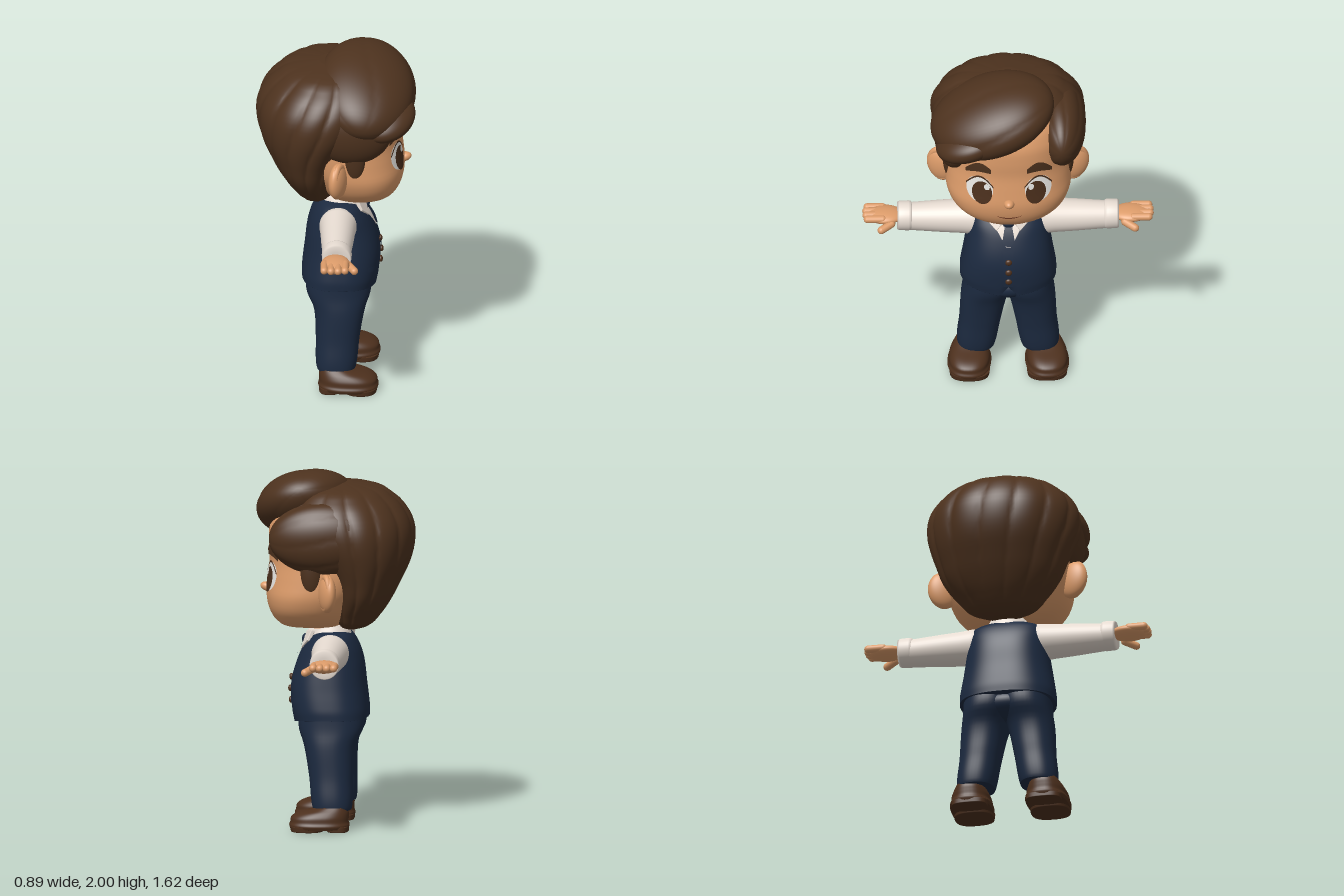
import * as THREE from 'three';
import { mergeVertices } from 'three/addons/utils/BufferGeometryUtils.js';

const PI = Math.PI;
const material = (name, color) => Object.assign(new THREE.MeshStandardMaterial({ color }), { name });

// Body outline as a function of height; each section is [y, halfWidth, zBack, zFront, centreX]
function outline(sections, n = 2.3) {
  const cubic = new THREE.CubicInterpolant(sections.map(s => s[0]),
    sections.flatMap(s => [s[1], s[2], s[3], s[4] || 0]), 4);
  const at = y => Array.from(cubic.evaluate(y));
  const surface = (x, y) => {
    const [rx, zb, zf, cx] = at(y);
    const t = Math.min(1, Math.abs((x - cx) / rx));
    return (zb + zf) / 2 + (zf - zb) / 2 * Math.pow(1 - t ** n, 1 / n);
  };
  return { at, surface, n, y0: sections[0][0], y1: sections.at(-1)[0] };
}

// Closed skin over an outline, with optional ridges and vertex rule
function loft(o, rows = 32, cols = 48, ridge = () => 1, rule = p => p) {
  const pos = [], index = [];
  const power = c => Math.sign(c) * Math.abs(c) ** (2 / o.n);
  for (let j = 0; j <= rows; j++) {
    const y = o.y0 + (o.y1 - o.y0) * (1 - Math.cos(PI * j / rows)) / 2;
    const [rx, zb, zf, cx] = o.at(y);
    for (let i = 0; i < cols; i++) {
      const a = i / cols * 2 * PI, k = ridge(a, y);
      const p = new THREE.Vector3(cx + rx * k * power(Math.cos(a)), y,
        (zb + zf) / 2 + (zf - zb) / 2 * k * power(Math.sin(a)));
      pos.push(...rule(p).toArray());
      const b = j * cols + i, c = j * cols + (i + 1) % cols;
      if (j < rows) index.push(b, b + cols, c, c, b + cols, c + cols);
    }
  }
  const last = rows * cols, low = pos.length / 3;
  for (const y of [o.y0, o.y1]) {
    const [, zb, zf, cx] = o.at(y);
    pos.push(cx, y, (zb + zf) / 2);
  }
  for (let i = 0; i < cols; i++) {
    const k = (i + 1) % cols;
    index.push(low, i, k, low + 1, last + k, last + i);
  }
  const g = new THREE.BufferGeometry();
  g.setAttribute('position', new THREE.Float32BufferAttribute(pos, 3));
  g.setIndex(index);
  g.computeVertexNormals();
  return g;
}

// Thin painted plate following a surface; fn(u, v) gives [x, y]
function plate(o, fn, off, nu = 14, nv = 14) {
  const g = new THREE.PlaneGeometry(1, 1, nu, nv), p = g.attributes.position;
  for (let i = 0; i < p.count; i++) {
    const [x, y] = fn(p.getX(i) + 0.5, p.getY(i) + 0.5);
    p.setXYZ(i, x, y, o.surface(x, y) + off);
  }
  g.computeVertexNormals();
  return g;
}
const oval = (cx, cy, rx, ry) => (u, v) =>
  [cx + rx * (2 * u - 1) * Math.sin(PI * v), cy - ry * Math.cos(PI * v)];

// Ellipsoid with soft grooves running along its x axis
function lock(rx, ry, rz, grooves = 0, depth = 0.06) {
  let g = new THREE.SphereGeometry(1, 64, 32).rotateZ(PI / 2);
  g.deleteAttribute('uv'); g.deleteAttribute('normal');
  const p = g.attributes.position;
  for (let i = 0; i < p.count && grooves; i++) {
    const a = Math.atan2(p.getZ(i), p.getY(i)) + p.getX(i) * 0.35;
    const k = 1 - depth * (1 - Math.sqrt(Math.abs(Math.sin(a * grooves / 2))));
    p.setXYZ(i, p.getX(i), p.getY(i) * k, p.getZ(i) * k);
  }
  g = mergeVertices(g.scale(rx, ry, rz), 1e-5);
  g.computeVertexNormals();
  return g;
}

export function createModel() {
  const root = new THREE.Group(), body = new THREE.Group();
  body.name = 'boy';
  body.rotation.y = PI / 2;
  root.add(body);
  const skin = material('skin', 0xdd9c6a), hair = material('hair', 0x4d321e);
  const navy = material('navy cloth', 0x1c2a40), shirt = material('shirt', 0xe6dbd1);
  const white = material('eye white', 0xf0eeea), iris = material('dark brown', 0x4a2e1b);
  const leather = material('shoe leather', 0x4d301d), lip = material('mouth', 0x7d422a);
  const add = (name, g, m, pos = [0, 0, 0], rot = [0, 0, 0]) => {
    const mesh = new THREE.Mesh(g, m);
    mesh.name = name;
    mesh.position.set(...pos);
    mesh.rotation.set(...rot);
    body.add(mesh);
    return mesh;
  };

  // Head and face
  const head = outline([[1.115, 0.04, 0.06, 0.16], [1.125, 0.13, -0.02, 0.255], [1.15, 0.21, -0.06, 0.305],
    [1.2, 0.285, -0.1, 0.345], [1.3, 0.343, -0.16, 0.372], [1.4, 0.35, -0.24, 0.365], [1.5, 0.348, -0.3, 0.355],
    [1.6, 0.345, -0.32, 0.36], [1.7, 0.33, -0.32, 0.35], [1.8, 0.27, -0.27, 0.28], [1.87, 0.1, -0.1, 0.12]]);
  add('head', loft(head, 44, 64), skin);
  add('nose', lock(0.03, 0.027, 0.045), skin, [0, 1.335, 0.365], [-0.25, 0, 0]);
  add('mouth', plate(head, (u, v) => [(u - 0.5) * 0.15,
    1.232 + 0.022 * (2 * u - 1) ** 2 + (v - 0.5) * 0.01 * Math.sin(PI * u)], 0.004), lip);
  for (const s of [-1, 1]) {
    add('eyeWhite', plate(head, oval(s * 0.163, 1.422, 0.074, 0.082), 0.003), white);
    add('iris', plate(head, oval(s * 0.15, 1.403, 0.056, 0.071), 0.006), iris);
    add('eyeGlint', plate(head, oval(s * 0.123, 1.445, 0.016, 0.019), 0.009), white);
    add('upperLash', plate(head, (u, v) => [s * 0.163 + 0.076 * (2 * u - 1),
      1.445 + 0.06 * Math.sin(PI * u) + (v - 0.5) * 0.011], 0.008), iris);
    // Eyebrow, thick inside and thinner outside
    add('eyebrow', plate(head, (u, v) => {
      const inner = s > 0 ? 1 - u : u;
      return [s * 0.17 + (u - 0.5) * 0.14, 1.528 + 0.022 * inner + 0.03 * Math.sin(PI * u)
        + (v - 0.5) * 0.062 * Math.sin(PI * (0.12 + 0.72 * inner))];
    }, 0.008), hair);
    // Ears with a raised rim, turned forwards
    add('ear', lock(0.085, 0.108, 0.045), skin, [s * 0.37, 1.358, 0.008], [0, s * 0.35, -s * 0.15]);
    add('earRim', new THREE.TorusGeometry(0.07, 0.016, 10, 32).scale(0.85, 1.27, 1), skin,
      [s * 0.378, 1.363, 0.018], [0, s * 0.4, -s * 0.15]);
    add('sideburn', lock(0.035, 0.145, 0.06), hair, [s * 0.332, 1.48, 0.1], [0, 0, -s * 0.04]);
  }

  // Hair: grooved back mass, side sweeps and the front quiff
  const mane = outline([[1.11, 0.07, -0.15, -0.05], [1.13, 0.16, -0.2, -0.03], [1.2, 0.25, -0.27, 0],
    [1.3, 0.33, -0.335, 0.02], [1.4, 0.37, -0.385, 0.06], [1.5, 0.405, -0.43, 0.13], [1.6, 0.43, -0.453, 0.21],
    [1.7, 0.43, -0.45, 0.26], [1.78, 0.4, -0.415, 0.27], [1.86, 0.33, -0.34, 0.24], [1.915, 0.22, -0.23, 0.15],
    [1.935, 0.08, -0.1, 0.05]], 2);
  add('backHair', loft(mane, 40, 144, (a, y) =>
    1 - 0.045 * (1 - Math.sqrt(Math.abs(Math.sin(7 * a + (y - 1.5) * 2.5))))), hair);
  add('leftSideHair', lock(0.31, 0.205, 0.14, 8, 0.04), hair, [0.295, 1.655, 0.03], [0, PI / 2, 0]);
  add('rightSideHair', lock(0.23, 0.2, 0.115), hair, [-0.3, 1.64, 0.08], [0, PI / 2, 0]);
  add('quiff', lock(0.36, 0.178, 0.285, 5, 0.035), hair, [-0.09, 1.795, 0.155], [0.2, 0, 0.35]);
  add('quiffTip', lock(0.195, 0.092, 0.17), hair, [-0.22, 1.695, 0.265], [0, -0.25, 0.35]);

  // Waistcoat with a pointed front hem
  const vest = outline([[0.6, 0.268, -0.2, 0.215], [0.66, 0.268, -0.2, 0.228], [0.8, 0.248, -0.185, 0.235],
    [0.95, 0.226, -0.165, 0.195], [1.03, 0.216, -0.135, 0.155], [1.08, 0.185, -0.1, 0.115], [1.105, 0.1, -0.07, 0.08]], 2.5);
  const hem = p => {
    if (p.y >= 0.7) return p;
    const ax = Math.abs(p.x);
    const edge = p.z < 0 ? 0.62 : ax < 0.05 ? 0.645 - ax * 1.2 : 0.585 + (ax - 0.05) * 0.17;
    p.y = 0.7 - (0.7 - p.y) * 10 * (0.7 - edge);
    return p;
  };
  add('waistcoat', loft(vest, 36, 96, undefined, hem), navy);
  add('placket', plate(vest, (u, v) => [0.028 * (2 * u - 1), 0.66 + 0.25 * v], 0.006), navy);
  for (const y of [0.7, 0.765, 0.83])
    add('button', lock(0.019, 0.019, 0.012), leather, [0, y, vest.surface(0, y) + 0.005]);
  add('shirtFront', plate(vest, (u, v) => [(0.01 + 0.09 * v) * (2 * u - 1), 0.915 + 0.155 * v], 0.006), shirt);
  add('tie', plate(vest, (u, v) => [(2 * u - 1) * (v < 0.25 ? 0.01 + 0.1 * v : 0.035 - 0.02 * (v - 0.25)),
    0.925 + 0.11 * v], 0.015), navy);
  add('tieKnot', lock(0.034, 0.03, 0.022), navy, [0, 1.045, 0.155]);

  // Neck and collar
  add('neck', new THREE.CylinderGeometry(0.09, 0.09, 0.14, 32), skin, [0, 1.1, 0.02]);
  add('collar', loft(outline([[-0.045, 0.125, -0.12, 0.13], [0, 0.122, -0.115, 0.125], [0.04, 0.108, -0.1, 0.11]])),
    shirt, [0, 1.085, 0.025], [0.25, 0, 0]);
  for (const s of [-1, 1]) {
    const flap = new THREE.Shape([[0, 1.085], [s * 0.105, 1.115], [s * 0.115, 1.06], [s * 0.065, 1.005]]
      .map(p => new THREE.Vector2(p[0], p[1] - 1.05)));
    add('collarFlap', new THREE.ExtrudeGeometry(flap, { depth: 0.014, bevelSize: 0.004, bevelThickness: 0.004 }),
      shirt, [0, 1.05, 0.15], [-0.45, s * 0.2, 0]);
    add('pocket', plate(vest, (u, v) => [s * 0.165 + 0.05 * (2 * u - 1), 0.705 + s * (u - 0.5) * 0.02 + 0.03 * v], 0.006), navy);

    // Arm: sleeve, cuff and hand
    const turned = pts => new THREE.LatheGeometry(pts.map(p => new THREE.Vector2(...p)), 36).rotateZ(-s * PI / 2);
    add('sleeve', turned([[0, 0.12], [0.085, 0.13], [0.104, 0.17], [0.104, 0.2], [0.097, 0.26], [0.09, 0.38],
      [0.081, 0.5], [0.076, 0.57]]), shirt, [0, 0.99, 0.005]);
    add('cuff', turned([[0.072, 0.535], [0.08, 0.54], [0.084, 0.553], [0.082, 0.605], [0.076, 0.617], [0.04, 0.612],
      [0, 0.612]]), shirt, [0, 0.996, 0.007]);
    add('palm', lock(0.105, 0.034, 0.08), skin, [s * 0.685, 1.0, 0.002]);
    [-0.058, -0.02, 0.019, 0.057].forEach((z, i) =>
      add('finger', new THREE.CapsuleGeometry(0.0215, 0.085, 6, 14), skin,
        [s * (0.74 + (i % 3 ? 0.007 : 0)), 1.008, z], [0, 0, s * PI / 2]));
    const thumb = add('thumb', new THREE.CapsuleGeometry(0.022, 0.07, 6, 14), skin, [s * 0.678, 0.976, 0.088]);
    thumb.quaternion.setFromUnitVectors(new THREE.Vector3(0, 1, 0), new THREE.Vector3(s * 0.8, -0.2, 0.56).normalize());

    // Trouser leg
    add('trouserLeg', loft(outline([[0.115, 0.103, -0.112, 0.1, s * 0.178], [0.13, 0.107, -0.116, 0.105, s * 0.177],
      [0.3, 0.116, -0.12, 0.125, s * 0.155], [0.48, 0.131, -0.135, 0.158, s * 0.13],
      [0.56, 0.142, -0.172, 0.185, s * 0.108], [0.68, 0.145, -0.17, 0.19, s * 0.1]], 2.3)), navy);

    // Shoe with separate heel and sole
    add('shoe', loft(outline([[0.015, 0.116, -0.1, 0.226], [0.035, 0.122, -0.105, 0.232], [0.05, 0.115, -0.1, 0.226],
      [0.08, 0.111, -0.1, 0.218], [0.105, 0.098, -0.1, 0.175], [0.122, 0.085, -0.095, 0.11], [0.135, 0.075, -0.09, 0.07]], 2.4)),
      leather, [s * 0.212, 0, 0], [0, s * 0.06, 0]);
    add('heel', loft(outline([[0, 0.098, -0.1, 0.02], [0.03, 0.1, -0.1, 0.03]], 3), 4), leather, [s * 0.21, 0, 0]);
    add('sole', loft(outline([[0, 0.11, 0.04, 0.222], [0.03, 0.114, 0.03, 0.228]], 2.6), 4), leather, [s * 0.216, 0, 0]);
  }
  // Seat joining the legs
  add('trouserSeat', lock(0.2, 0.1, 0.175), navy, [0, 0.585, 0.008]);
  return root;
}
